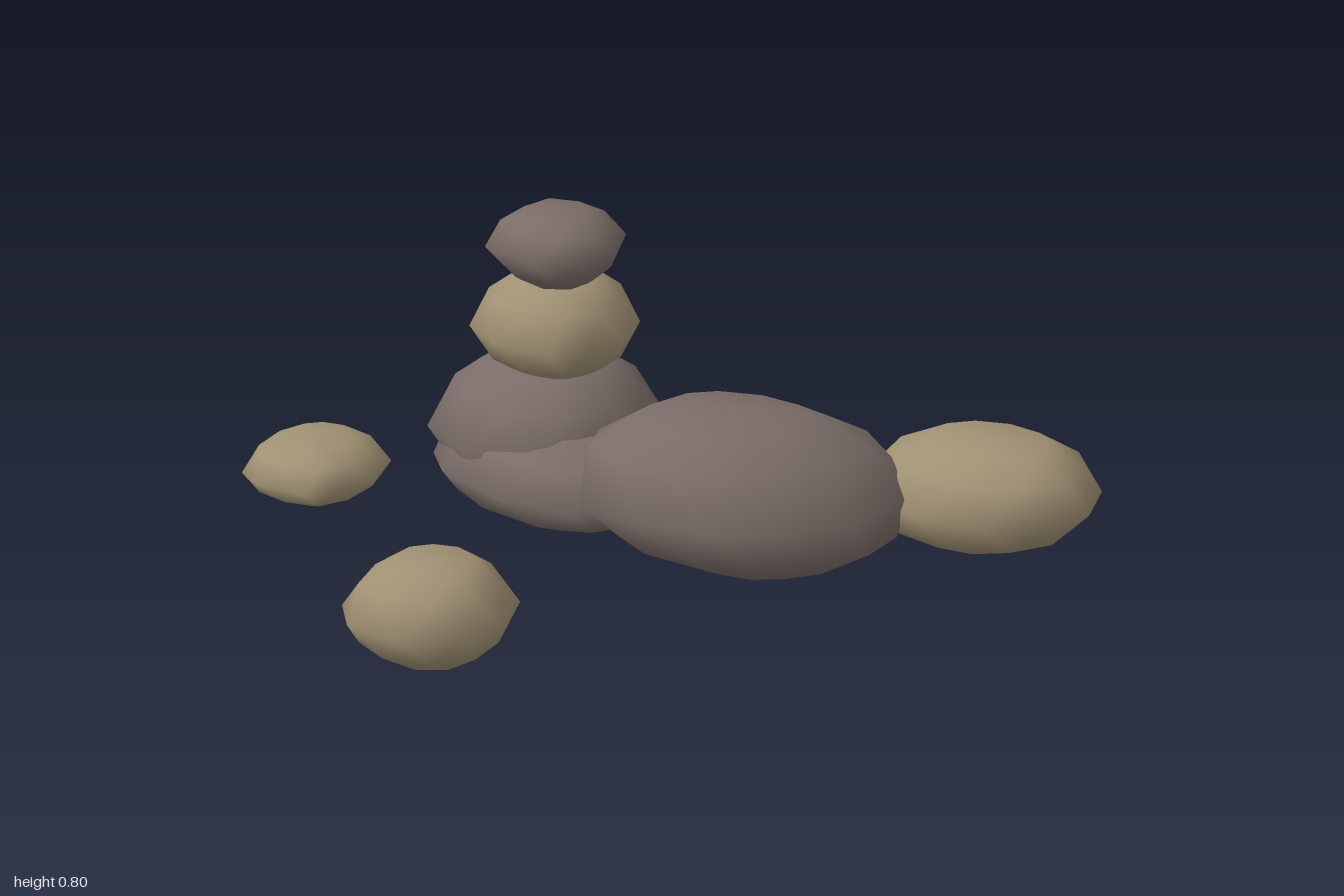
import * as THREE from 'three';

// Ring levels from bottom to top: [height from the waist (-1..1), width]
const LEVELS = [[-0.93, 0.5], [-0.6, 0.84], [0, 1], [0.6, 0.84], [0.93, 0.5]];

// Small repeatable random number, from -1 to 1
function seeded(seed) {
  return () => {
    seed = (seed * 16807) % 2147483647;
    return (seed / 2147483647) * 2 - 1;
  };
}

// Moves a list of values so that it spans exactly lo..hi
function fit(values, [lo, hi]) {
  const min = Math.min(...values), max = Math.max(...values);
  return values.map((v) => lo + ((v - min) / (max - min)) * (hi - lo));
}

// Uneven, slightly boxy oval seen from above; skew slants it diagonally
function oval(sides, skew, random) {
  const bulge = (v) => Math.sign(v) * Math.abs(v) ** 0.9;
  const xs = [], zs = [];
  for (let i = 0; i < sides; i++) {
    const a = ((i + random() * 0.18) / sides) * Math.PI * 2;
    const r = 1 + random() * 0.03;
    xs.push(r * bulge(Math.cos(a)));
    zs.push(r * bulge(Math.sin(a + skew)));
  }
  return [xs, zs];
}

// One rounded stone filling the given x, y and z spans; lean moves its top along x
function stone(name, material, spans, { sides = 10, skew = 0, lean = 0, waist = 0.47 } = {}) {
  const [xSpan, ySpan, zSpan] = spans;
  const random = seeded(name.length * 7919 + sides);
  const [ox, oz] = oval(sides, skew, random);
  const xs = fit(ox, xSpan), zs = fit(oz, zSpan);
  const cx = (xSpan[0] + xSpan[1]) / 2, cz = (zSpan[0] + zSpan[1]) / 2;
  const mid = ySpan[0] + (ySpan[1] - ySpan[0]) * waist;
  const pos = [], idx = [];
  const put = (t, x, z) => {
    const h = t < 0 ? mid - ySpan[0] : ySpan[1] - mid;
    pos.push(x + lean * t, mid + h * t, z);
  };

  // Every other ring is turned by half a step, giving triangular facets
  LEVELS.forEach(([t, w], j) => {
    for (let i = 0; i < sides; i++) {
      const k = (i + (j % 2)) % sides;
      put(t, cx + ((xs[i] + xs[k]) / 2 - cx) * w, cz + ((zs[i] + zs[k]) / 2 - cz) * w);
    }
  });
  put(-1, cx, cz);
  put(1, cx, cz);

  const last = LEVELS.length - 1, bottom = sides * LEVELS.length, top = bottom + 1;
  for (let i = 0; i < sides; i++) {
    const k = (i + 1) % sides;
    for (let j = 0; j < last; j++) {
      const l = j * sides, u = l + sides;
      if (j % 2 === 0) idx.push(l + i, u + i, l + k, l + k, u + i, u + k);
      else idx.push(l + i, u + i, u + k, l + i, u + k, l + k);
    }
    idx.push(bottom, i, k, top, last * sides + k, last * sides + i);
  }
  const geometry = new THREE.BufferGeometry();
  geometry.setAttribute('position', new THREE.Float32BufferAttribute(pos, 3));
  geometry.setIndex(idx);
  geometry.computeVertexNormals();
  const mesh = new THREE.Mesh(geometry, material);
  mesh.name = name;
  return mesh;
}

export function createModel() {
  const grey = new THREE.MeshStandardMaterial({ name: 'greyStone', color: 0x7b6d68 });
  const tan = new THREE.MeshStandardMaterial({ name: 'tanStone', color: 0xa09173 });
  const model = new THREE.Group();
  model.name = 'stonePile';

  // Two boulders lying side by side
  model.add(stone('largeBoulder', grey, [[-0.17, 0.6], [0, 0.375], [-0.65, 0]], { sides: 13, skew: -0.3, lean: -0.07 }));
  model.add(stone('flatBoulder', grey, [[-0.67, 0.05], [0.03, 0.29], [-0.58, -0.01]], { sides: 12, skew: 0.25 }));

  // Stack of three stones
  model.add(stone('stackBase', grey, [[-0.65, -0.08], [0.05, 0.405], [-0.635, -0.085]]));
  model.add(stone('stackMiddle', tan, [[-0.55, -0.14], [0.37, 0.628], [-0.56, -0.17]]));
  model.add(stone('stackTop', grey, [[-0.51, -0.17], [0.61, 0.8], [-0.52, -0.19]], { sides: 8, waist: 0.54 }));

  // Loose stones around the pile
  model.add(stone('leftStone', tan, [[0.38, 1], [0.015, 0.295], [-0.915, -0.44]], { sides: 11, lean: 0.03 }));
  model.add(stone('frontStone', tan, [[-0.3, 0.12], [0.03, 0.295], [0.455, 0.905]], { sides: 9 }));
  model.add(stone('rightStone', tan, [[-1, -0.655], [0.06, 0.215], [-0.2, 0.175]]));
  model.add(stone('backStone', tan, [[-0.64, -0.31], [0.06, 0.215], [-0.69, -0.39]]));
  return model;
}
